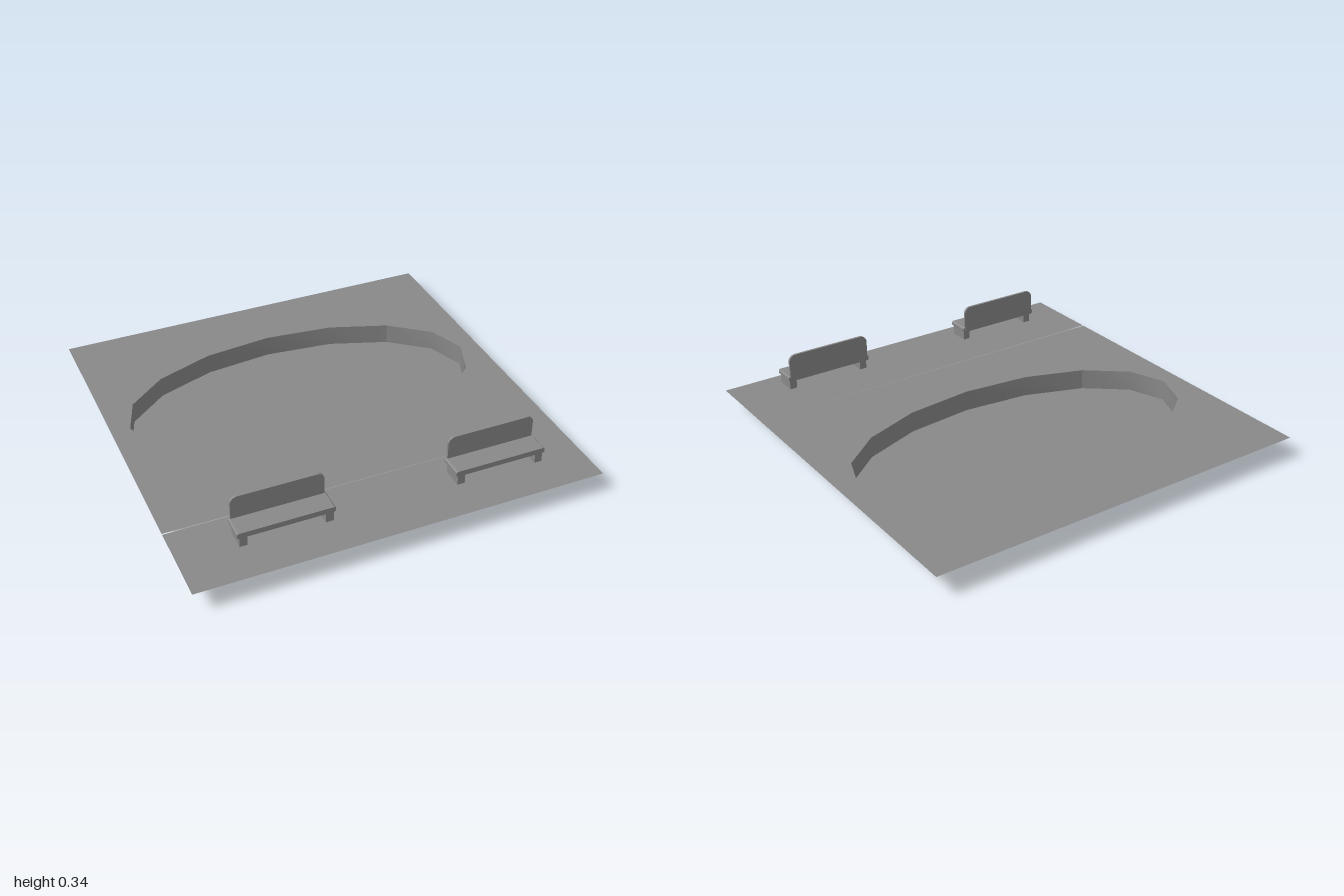
import * as THREE from 'three';

const GROUND_Y = 0.106;
const POOL = { z: -0.2, rx: 0.905, rz: 0.486, sides: 16 };

export function createModel() {
  const model = new THREE.Group();
  const color = 0x888888;
  const solid = new THREE.MeshStandardMaterial({ color, flatShading: true });
  const sheet = new THREE.MeshStandardMaterial({ color, side: THREE.DoubleSide });

  const add = (parent, name, geometry, material, x = 0, y = 0, z = 0) => {
    const mesh = new THREE.Mesh(geometry, material);
    mesh.name = name;
    mesh.position.set(x, y, z);
    parent.add(mesh);
  };

  // Ground sheet with a thin tapering slit from the right edge and a pool opening
  const ground = new THREE.Shape([
    [-1, -1], [1, -1], [1, 1], [-1, 1], [-1, -0.591], [0.98, -0.596], [-1, -0.597],
  ].map(([x, y]) => new THREE.Vector2(x, y)));
  const rim = [];
  for (let i = 0; i < POOL.sides; i++) {
    const a = (i / POOL.sides) * Math.PI * 2;
    rim.push(new THREE.Vector2(POOL.rx * Math.cos(a), -POOL.z + POOL.rz * Math.sin(a)));
  }
  ground.holes.push(new THREE.Path(rim));
  add(model, 'ground', new THREE.ShapeGeometry(ground).rotateX(-Math.PI / 2), sheet, 0, GROUND_Y, 0);

  // Sunken pool: wall of four smooth arcs that crease where they meet, and a flat floor
  for (let i = 0; i < 4; i++) {
    const arc = new THREE.CylinderGeometry(
      1, 1, GROUND_Y, POOL.sides / 4, 1, true, (i - 0.5) * Math.PI / 2, Math.PI / 2,
    ).scale(POOL.rx, 1, POOL.rz);
    arc.computeVertexNormals();
    add(model, 'poolWall', arc, sheet, 0, GROUND_Y / 2, POOL.z);
  }
  add(model, 'poolFloor', new THREE.ShapeGeometry(new THREE.Shape(rim)).rotateX(-Math.PI / 2), sheet);

  // Seat slab with softened ends
  const w = 0.229, h = 0.0135, c = 0.006;
  const seatShape = new THREE.Shape([
    [-w + c, -h], [w - c, -h], [w, -h + c], [w, h - c],
    [w - c, h], [-w + c, h], [-w, h - c], [-w, -h + c],
  ].map(([x, y]) => new THREE.Vector2(x, y)));
  const seat = new THREE.ExtrudeGeometry(seatShape, { depth: 0.115, bevelEnabled: false });

  // Backrest with rounded upper corners
  const bw = 0.22, top = 0.337, r = 0.035;
  const backShape = new THREE.Shape();
  backShape.moveTo(-bw, 0.2);
  backShape.lineTo(bw, 0.2);
  backShape.lineTo(bw, top - r);
  backShape.absarc(bw - r, top - r, r, 0, Math.PI / 2);
  backShape.lineTo(-bw + r, top);
  backShape.absarc(-bw + r, top - r, r, Math.PI / 2, Math.PI);
  const back = new THREE.ExtrudeGeometry(backShape, { depth: 0.012, bevelEnabled: false, curveSegments: 5 });

  const leg = new THREE.BoxGeometry(0.037, 0.052, 0.1);

  // Two matching benches
  [['rightBench', -0.513], ['leftBench', 0.537]].forEach(([name, x]) => {
    const bench = new THREE.Group();
    bench.name = name;
    bench.position.x = x;
    add(bench, 'seat', seat, solid, 0, 0.209, 0.735);
    add(bench, 'backrest', back, solid, 0, 0, 0.733);
    for (const side of [-1, 1]) add(bench, 'leg', leg, solid, side * 0.201, 0.173, 0.798);
    model.add(bench);
  });

  return model;
}
